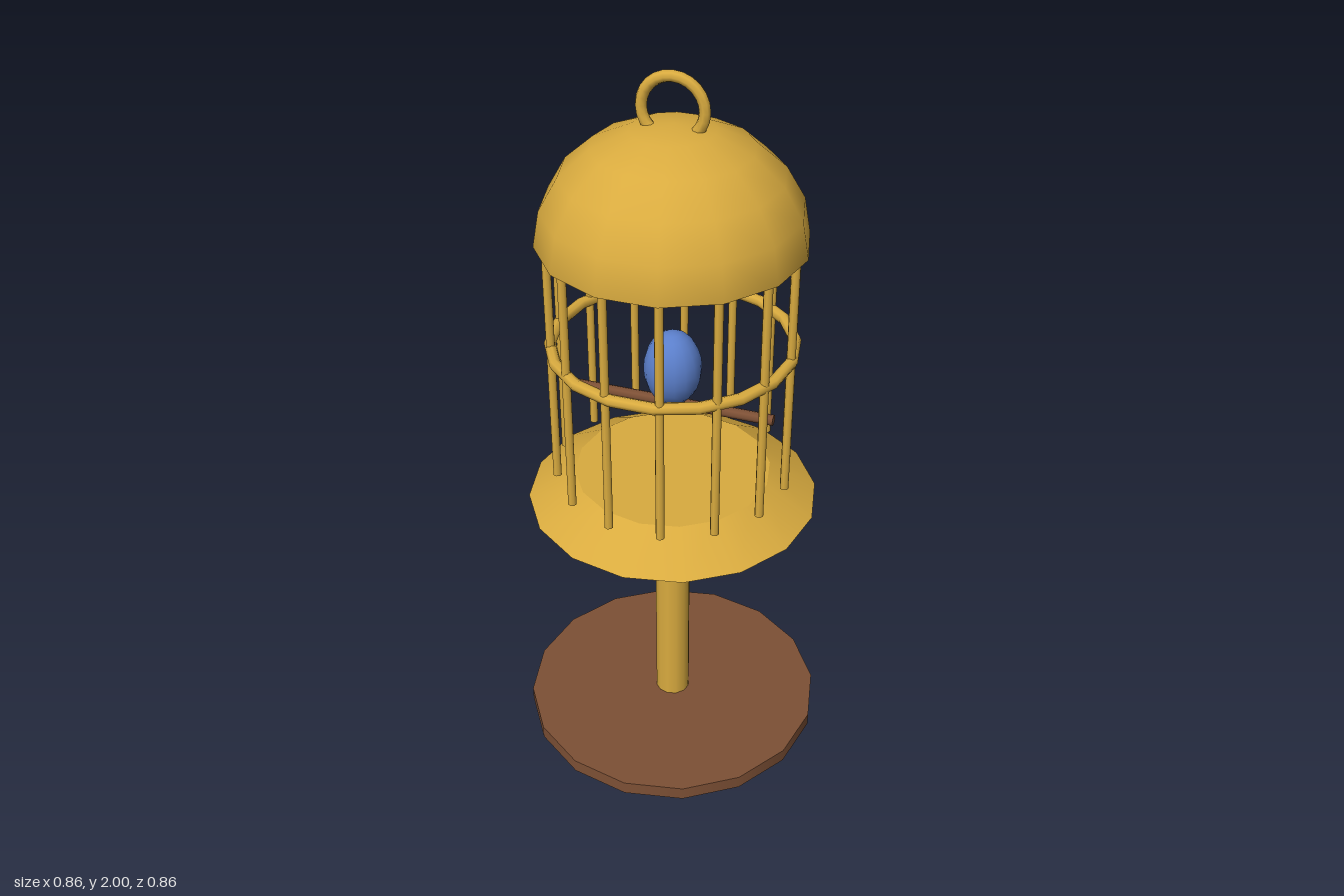
import * as THREE from 'three';

export function createModel() {
  const model = new THREE.Group();
  const gold = new THREE.MeshStandardMaterial({ color: 0xd9ab3f });
  const wood = new THREE.MeshStandardMaterial({ color: 0x7d5035 });
  const blue = new THREE.MeshStandardMaterial({ color: 0x5b7fcb });

  function add(name, geometry, material, x = 0, y = 0, z = 0, parent = model) {
    const mesh = new THREE.Mesh(geometry, material);
    mesh.name = name;
    mesh.position.set(x, y, z);
    parent.add(mesh);
    return mesh;
  }

  // Stand: foot, pole and flared tray
  add('base', new THREE.CylinderGeometry(0.43, 0.43, 0.04, 16), wood, 0, 0.02);
  add('pole', new THREE.CylinderGeometry(0.05, 0.05, 0.74, 12), gold, 0, 0.41);
  add('tray', new THREE.CylinderGeometry(0.27, 0.4, 0.08, 16), gold, 0, 0.823);

  // Cage bars
  const bars = new THREE.Group();
  bars.name = 'bars';
  model.add(bars);
  const barCount = 14, cageRadius = 0.318;
  const barGeometry = new THREE.CylinderGeometry(0.012, 0.012, 0.7, 8);
  for (let i = 0; i < barCount; i++) {
    const a = (i / barCount) * Math.PI * 2;
    add('bar', barGeometry, gold, Math.cos(a) * cageRadius, 1.215, Math.sin(a) * cageRadius, bars);
  }

  // Hoop around the bars
  const hoop = add('hoop', new THREE.TorusGeometry(0.32, 0.016, 8, 18), gold, 0, 1.265);
  hoop.rotation.x = Math.PI / 2;

  // Dome roof, closed underneath
  const domeRadius = 0.348;
  const dome = add('dome', new THREE.SphereGeometry(domeRadius, 14, 5, 0, Math.PI * 2, 0, Math.PI / 2), gold, 0, 1.562);
  dome.scale.y = 0.88;
  const ceiling = add('domeUnderside', new THREE.CircleGeometry(domeRadius, 14), gold, 0, 1.562);
  ceiling.rotation.x = Math.PI / 2;

  // Hanging ring, sunk into the dome
  add('hangingRing', new THREE.TorusGeometry(0.08, 0.015, 8, 24), gold, 0, 1.905);

  // Perch and egg-shaped bird body
  const perch = add('perch', new THREE.CylinderGeometry(0.015, 0.015, 0.56, 8), wood, 0, 1.077);
  perch.rotation.z = Math.PI / 2;
  const bird = add('birdBody', new THREE.SphereGeometry(0.078, 16, 12), blue, 0, 1.186);
  bird.scale.y = 1.38;

  return model;
}
